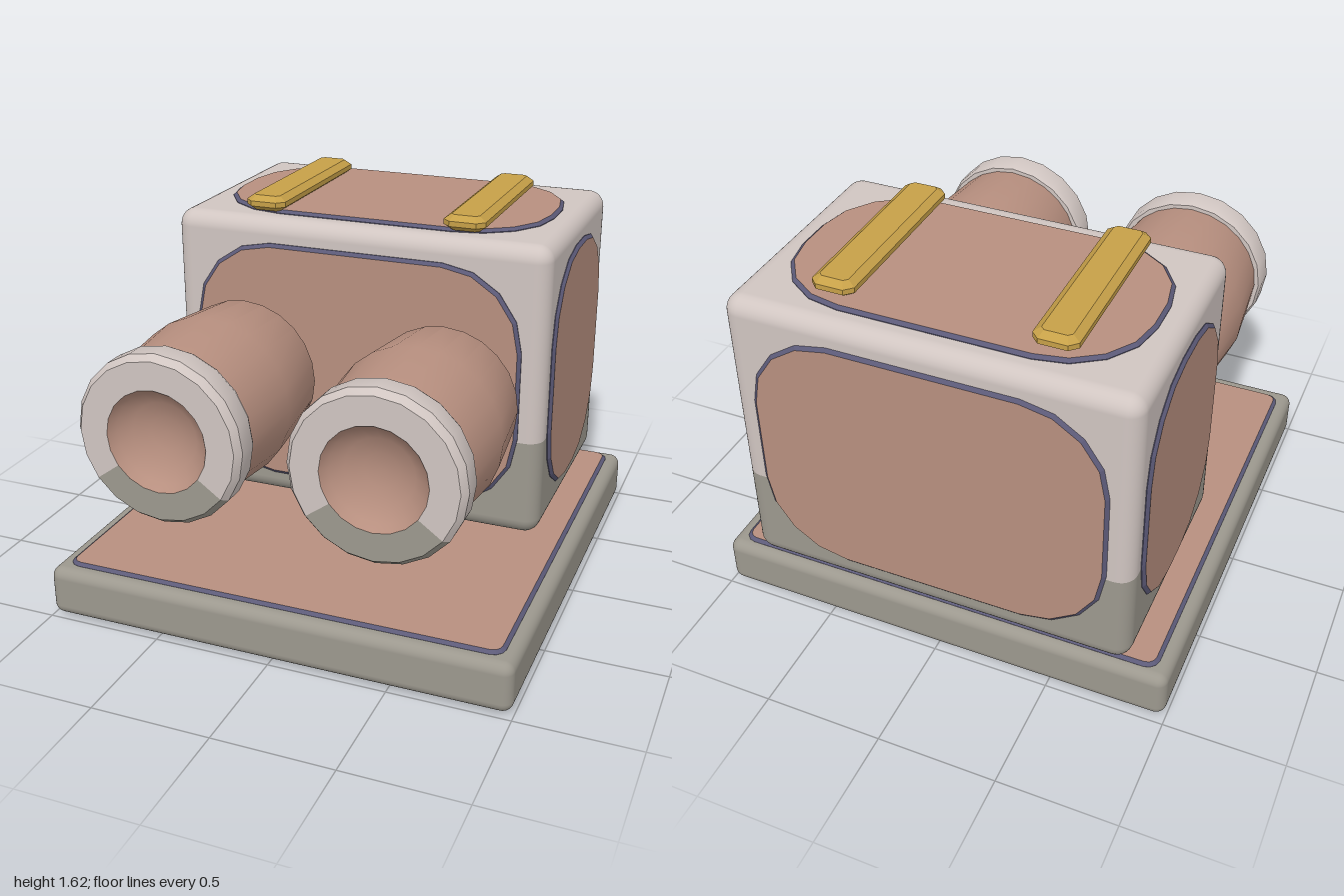
import * as THREE from 'three';
import { toCreasedNormals } from 'three/addons/utils/BufferGeometryUtils.js';
import { RoundedBoxGeometry } from 'three/addons/geometries/RoundedBoxGeometry.js';

const mat = (name, color, side = THREE.FrontSide) => {
  const m = new THREE.MeshStandardMaterial({ color, side });
  m.name = name;
  return m;
};

// rectangle with corners cut into straight segments
function cutRect(w, h, r, segs) {
  const pts = [];
  [[1, 1], [-1, 1], [-1, -1], [1, -1]].forEach(([sx, sy], q) => {
    for (let i = 0; i <= segs; i++) {
      const a = (q + i / segs) * Math.PI / 2;
      pts.push(new THREE.Vector2(sx * (w / 2 - r) + r * Math.cos(a), sy * (h / 2 - r) + r * Math.sin(a)));
    }
  });
  return new THREE.Shape(pts);
}

// bevelled plate whose outer face lies on z = 0 and looks towards +z
function plate(w, h, r, segs, depth, bevel, bevelDepth) {
  const g = new THREE.ExtrudeGeometry(cutRect(w - 2 * bevel, h - 2 * bevel, r, segs), {
    depth, bevelEnabled: true, bevelSize: bevel, bevelThickness: bevelDepth, bevelSegments: 1,
  });
  return g.translate(0, 0, -depth - bevelDepth);
}

// part of a rounded box between two heights; the cut end is flattened
function boxPart(w, y0, y1, d, r, cut, upper) {
  const g = new RoundedBoxGeometry(w, y1 - y0, d, 4, r);
  g.translate(0, (y0 + y1) / 2, 0);
  const p = g.attributes.position, mid = (y0 + y1) / 2;
  for (let i = 0; i < p.count; i++) {
    if (upper ? p.getY(i) < mid : p.getY(i) > mid) p.setY(i, cut);
  }
  return g;
}

// turned part along +z; angle 0 points down
function turned(profile, segs, start = 0, length = Math.PI * 2) {
  const pts = profile.map(([r, z]) => new THREE.Vector2(r, z));
  const g = new THREE.LatheGeometry(pts, segs, start, length).rotateX(Math.PI / 2);
  return toCreasedNormals(g, 0.6);
}

export function createModel() {
  const model = new THREE.Group();
  model.name = 'model';
  const clay = mat('clay', 0xb78f7f);
  const bowlClay = clay;
  const pale = mat('paleGrey', 0xd0c5c1);
  const olive = mat('oliveGrey', 0x9c988e);
  const edge = mat('slateEdge', 0x5c5a78);
  const gold = mat('gold', 0xc6a048);

  const add = (name, geometry, material, parent = model) => {
    const m = new THREE.Mesh(geometry, material);
    m.name = name;
    parent.add(m);
    return m;
  };
  const addPanel = (name, w, h, r, segs, pos, rx, ry) => {
    const m = add(name, plate(w, h, r, segs, 0.03, 0.015, 0.012), [clay, edge]);
    m.position.set(...pos);
    m.rotation.set(rx, ry, 0);
  };
  const Q = Math.PI / 2;

  // base slab with inlaid top and bottom
  add('base', new RoundedBoxGeometry(1.99, 0.215, 1.985, 4, 0.045), olive).position.set(0, 0.12, 0.007);
  addPanel('baseTopPanel', 1.88, 1.88, 0.04, 3, [0, 0.24, 0], -Q, 0);
  addPanel('baseBottomPanel', 1.88, 1.88, 0.04, 3, [0, 0, 0], Q, 0);

  // body block in two tones
  const zc = -0.463;
  add('bodyUpper', boxPart(1.67, 0.255, 1.54, 1.05, 0.07, 0.69, true), pale).position.z = zc;
  add('bodyLower', boxPart(1.67, 0.255, 1.54, 1.05, 0.07, 0.69, false), olive).position.z = zc;

  // raised panels on all six sides of the body
  const W = 1.47, H = 1.08, D = 0.85, yc = 0.897, R = 0.335;
  addPanel('frontPanel', W, H, R, 4, [0, yc, 0.078], 0, 0);
  addPanel('backPanel', W, H, R, 4, [0, yc, -1.0], 0, Math.PI);
  addPanel('leftPanel', D, H, R, 4, [0.85, yc, zc], 0, Q);
  addPanel('rightPanel', D, H, R, 4, [-0.85, yc, zc], 0, -Q);
  addPanel('topPanel', W, D, R, 4, [0, 1.555, zc], -Q, 0);
  addPanel('bottomPanel', W, D, R, 4, [0, 0.24, zc], Q, 0);

  // barrels with two-tone end rings and hollow mouths, plus the roof bars above them
  const barrel = [[0.2, 0.04], [0.22, 0.08], [0.32, 0.2], [0.355, 0.54], [0.325, 0.87]];
  const ring = [[0.32, 0.86], [0.345, 0.86], [0.355, 0.88], [0.355, 0.97], [0.332, 1.0], [0.215, 1.0]];
  const bowl = [[0.215, 1.0], [0.19, 0.965], [0.14, 0.93], [0.07, 0.908], [0, 0.9]];
  const sector = 0.3 * Math.PI;
  for (const [side, s] of [['left', 1], ['right', -1]]) {
    const g = new THREE.Group();
    g.name = side + 'Barrel';
    g.position.set(0.445 * s, 0.895, 0);
    model.add(g);
    add('barrel', turned(barrel, 24), clay, g);
    add('ringLower', turned(ring, 6, -sector, 2 * sector), olive, g);
    add('ringUpper', turned(ring, 14, sector, 2 * Math.PI - 2 * sector), pale, g);
    add('mouth', turned(bowl, 20), bowlClay, g);

    const bar = add(side + 'RoofBar', plate(0.18, 0.825, 0.015, 1, 0.022, 0.03, 0.022), gold);
    bar.position.set(0.445 * s, 1.615, -0.42);
    bar.rotation.x = -Q;
  }
  return model;
}
